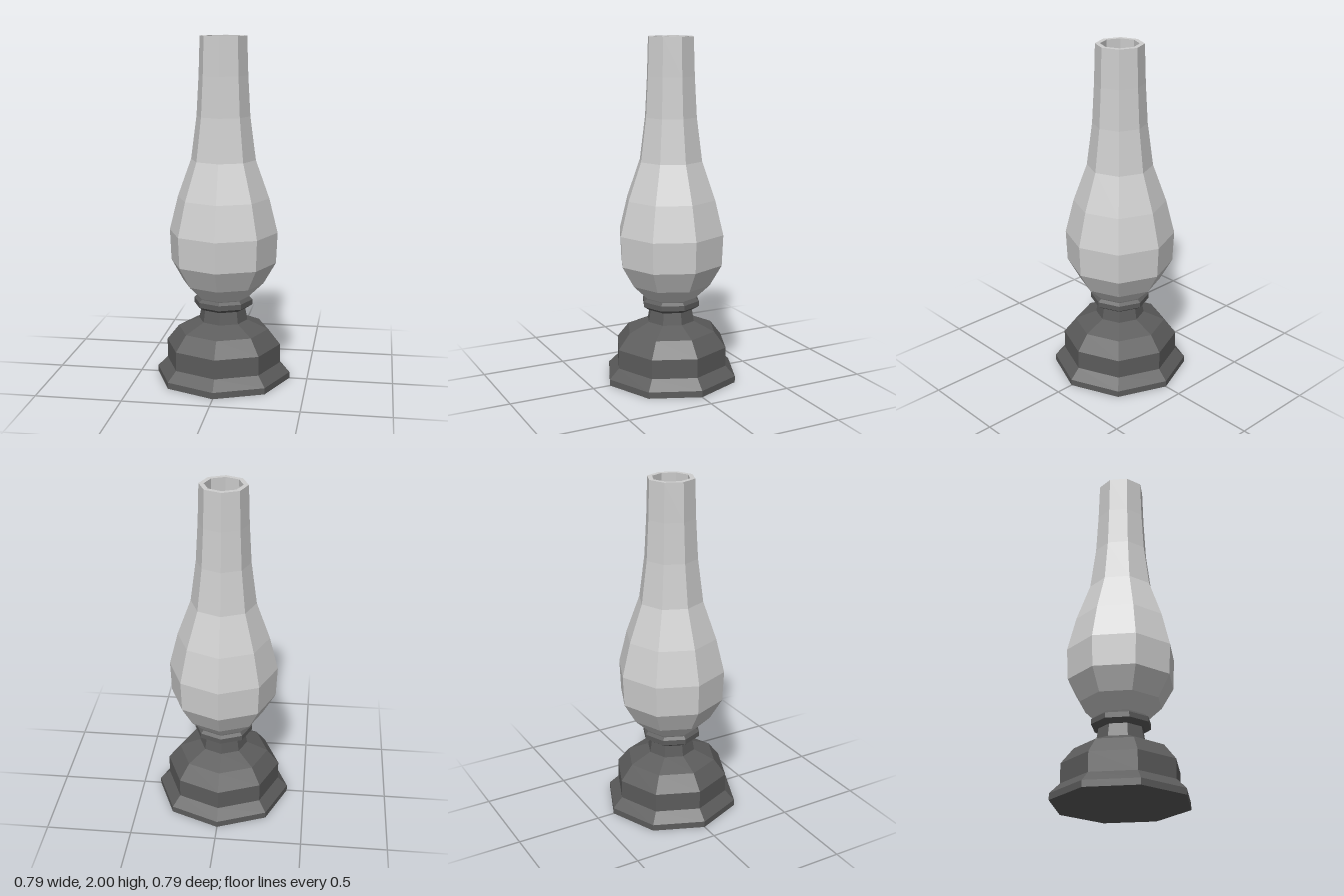
import * as THREE from 'three';

const SIDES = 8;

// Eight-sided turned part from a [radius, height] profile
function turned(name, profile, material) {
  const points = profile.map(([r, y]) => new THREE.Vector2(r, y));
  const indexed = new THREE.LatheGeometry(points, SIDES);
  const geometry = indexed.toNonIndexed();
  geometry.computeVertexNormals(); // flat facets
  const mesh = new THREE.Mesh(geometry, material);
  mesh.name = name;
  return mesh;
}

export function createModel() {
  const metal = new THREE.MeshStandardMaterial({ color: 0x5c5c5c, flatShading: true });
  metal.name = 'dark metal';
  const glass = new THREE.MeshStandardMaterial({ color: 0xcecece, flatShading: true });
  glass.name = 'pale glass';

  const lamp = new THREE.Group();
  lamp.name = 'oilLamp';

  // Stepped foot, oil reservoir and neck
  lamp.add(turned('base', [
    [0, 0], [0.396, 0], [0.396, 0.037], [0.338, 0.095], [0.338, 0.207],
    [0.267, 0.297], [0.143, 0.35], [0.13, 0.425],
  ], metal));

  // Collar holding the chimney
  lamp.add(turned('collar', [
    [0, 0.425], [0.143, 0.425], [0.173, 0.445], [0.173, 0.475], [0.155, 0.49], [0, 0.49],
  ], metal));

  // Pointed burner inside the chimney
  lamp.add(turned('burner', [[0.063, 0.49], [0, 0.58]], metal));

  // Hollow chimney: outer wall up, rim, inner wall down
  const outer = [
    [0.152, 0.493], [0.237, 0.575], [0.309, 0.7], [0.317, 0.88], [0.267, 1.08],
    [0.188, 1.3], [0.155, 1.55], [0.142, 1.78], [0.135, 2],
  ];
  const inner = outer.map(([r, y]) => [r - 0.028, y]).reverse();
  lamp.add(turned('chimney', [...outer, ...inner, outer[0]], glass));

  return lamp;
}
